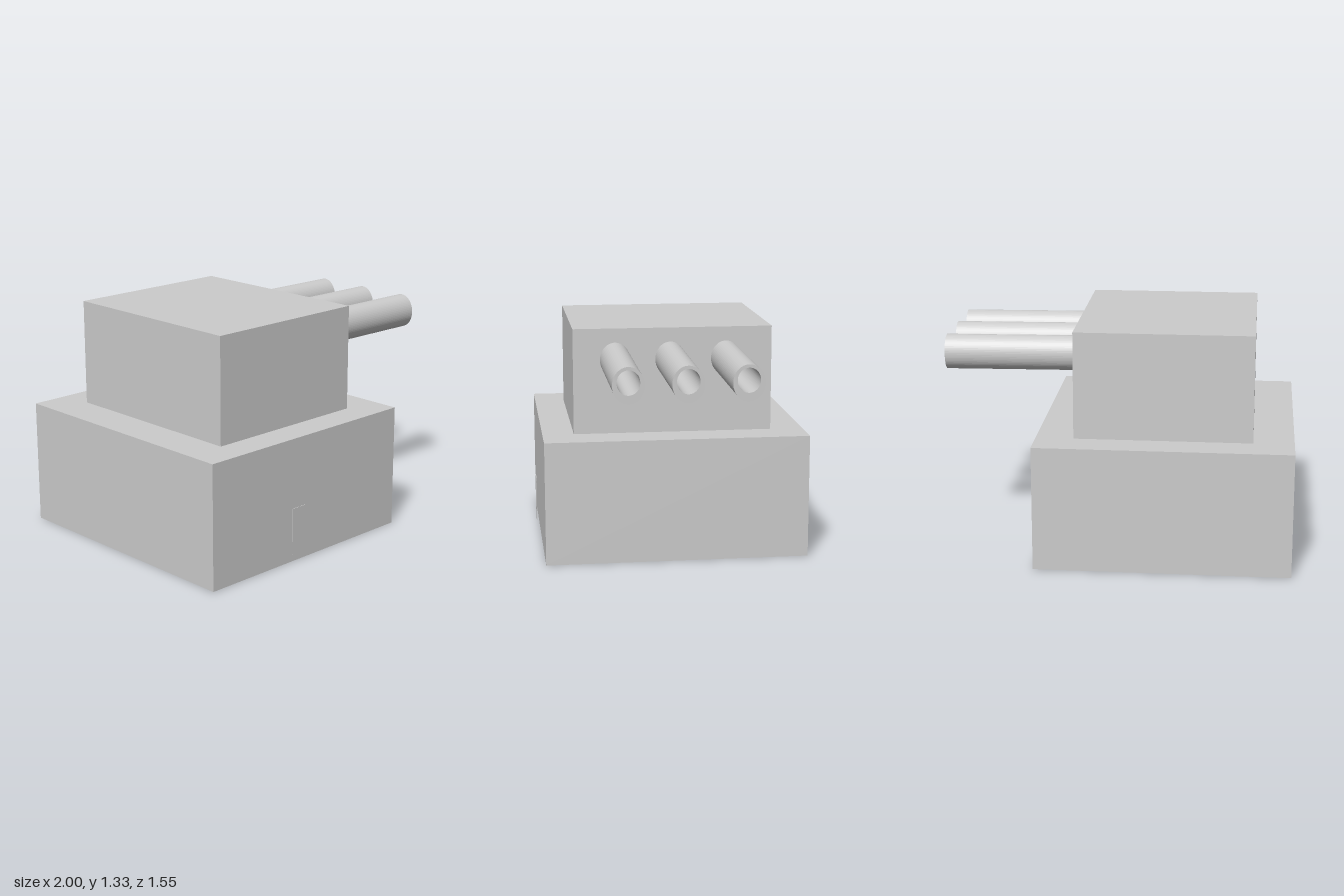
import * as THREE from 'three';

export function createModel() {
  const group = new THREE.Group();
  const grey = new THREE.MeshStandardMaterial({ color: 0xcccccc });
  grey.name = 'lightGrey';

  function add(name, geometry) {
    const mesh = new THREE.Mesh(geometry, grey);
    mesh.name = name;
    group.add(mesh);
    return mesh;
  }

  // Box given by its lowest and highest corners
  function block(name, [x0, y0, z0], [x1, y1, z1]) {
    add(name, new THREE.BoxGeometry(x1 - x0, y1 - y0, z1 - z0))
      .position.set((x0 + x1) / 2, (y0 + y1) / 2, (z0 + z1) / 2);
  }

  // Stepped body
  block('base', [-1, 0, -0.775], [0.455, 0.72, 0.755]);
  block('turret', [-0.77, 0.72, -0.583], [0.24, 1.333, 0.573]);

  // Thin door standing just off the front wall
  block('door', [-0.415, 0.05, 0.772], [-0.32, 0.323, 0.775]);

  // Oval barrels with a bore set slightly above the middle, drooping a little
  const section = new THREE.Shape().absellipse(0, 0, 0.087, 0.1, 0, Math.PI * 2);
  section.holes.push(new THREE.Path().absellipse(0, 0.014, 0.063, 0.068, 0, Math.PI * 2, true));
  const barrel = new THREE.ExtrudeGeometry(section, { depth: 0.76, bevelEnabled: false, curveSegments: 32 });
  barrel.rotateY(Math.PI / 2);
  for (const z of [-0.315, 0.01, 0.33]) {
    const mesh = add('barrel', barrel);
    mesh.position.set(0.239, 1.151, z);
    mesh.rotation.z = -0.009;
  }

  return group;
}
